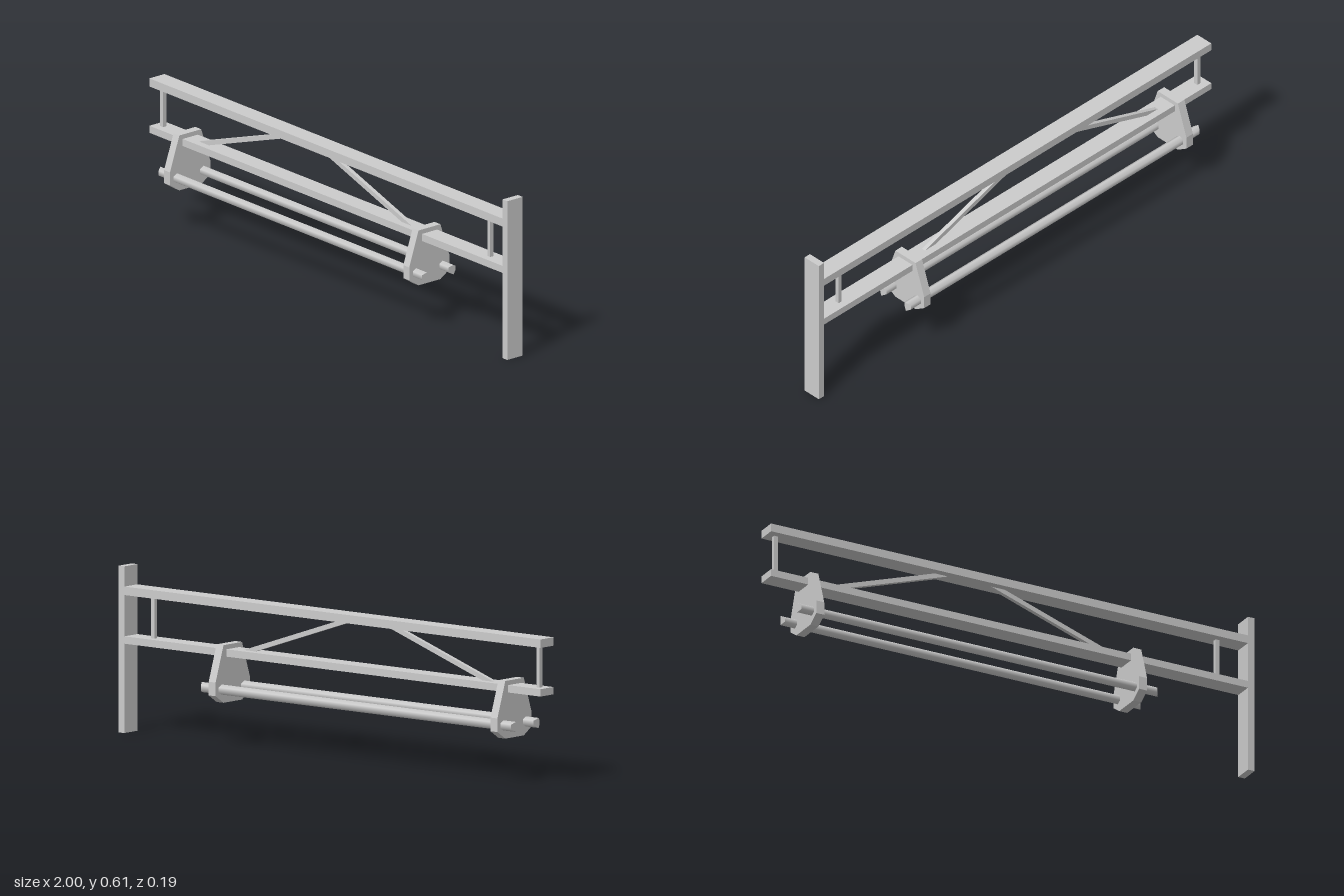
import * as THREE from 'three';

const material = new THREE.MeshStandardMaterial({ color: 0xcccccc });
const MID_X = -0.162; // middle of the hanging frame and the braces

export function createModel() {
  const model = new THREE.Group();
  model.name = 'wallBracket';

  const add = (name, geometry) => {
    const mesh = new THREE.Mesh(geometry, material);
    mesh.name = name;
    model.add(mesh);
  };

  const box = (name, x0, x1, y0, y1, depth) => {
    const g = new THREE.BoxGeometry(x1 - x0, y1 - y0, depth);
    g.translate((x0 + x1) / 2, (y0 + y1) / 2, 0);
    add(name, g);
  };

  // Outline extruded symmetrically about z = 0
  const slab = (points, depth) => {
    const shape = new THREE.Shape(points.map(([x, y]) => new THREE.Vector2(x, y)));
    const g = new THREE.ExtrudeGeometry(shape, { depth, bevelEnabled: false });
    return g.translate(0, 0, -depth / 2);
  };

  // Wall post and the two long beams
  box('wallPost', 0.973, 1, 0, 0.61, 0.073);
  box('topBeam', -1, 0.973, 0.505, 0.536, 0.072);
  box('bottomBeam', -1, 0.973, 0.327, 0.354, 0.072);

  // Upright spacers between the beams
  for (const x of [-0.964, 0.863]) box('spacer', x - 0.008, x + 0.008, 0.352, 0.507, 0.016);

  for (const side of [-1, 1]) {
    // Slanting brace, cut flush with the beams
    const brace = [[0.593, 0.354], [0.538, 0.354], [0.09, 0.505], [0.145, 0.505]];
    add('brace', slab(brace.map(([x, y]) => [MID_X + side * x, y]), 0.016));

    // Hanger plate around the bottom beam
    const half = [[0.052, 0.16], [0.096, 0.189], [0.096, 0.239], [0.052, 0.371]];
    const outline = [...half, ...half.map(([z, y]) => [-z, y]).reverse()];
    const plate = slab(outline, 0.033);
    plate.rotateY(Math.PI / 2).translate(MID_X + side * 0.668, 0, 0);
    add('hangerPlate', plate);

    // Six-sided rod with wedge-shaped ends
    const rod = new THREE.CylinderGeometry(0.0185, 0.0185, 1.49, 6);
    rod.rotateY(Math.PI / 2).rotateZ(Math.PI / 2);
    const p = rod.attributes.position;
    for (let i = 0; i < p.count; i++) {
      p.setX(i, p.getX(i) - Math.sign(p.getX(i)) * Math.abs(p.getZ(i)) * 0.6);
    }
    rod.translate(MID_X, 0.21, side * 0.063);
    add('rod', rod);
  }

  return model;
}
